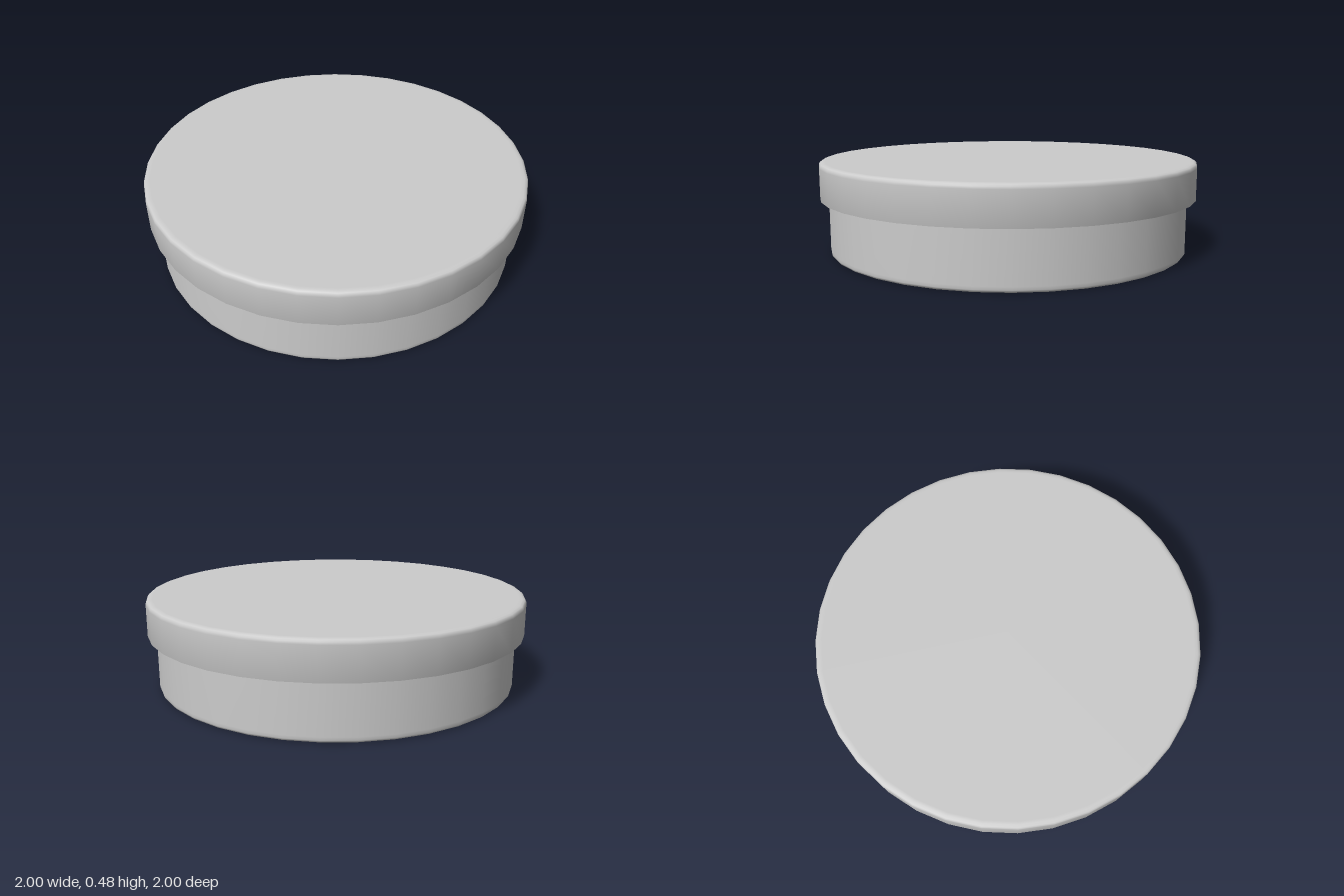
import * as THREE from 'three';

const SIDES = 36;
const material = new THREE.MeshStandardMaterial({ color: 0xcccccc });

// Turns a list of [radius, height] points around the vertical axis
function turned(name, profile) {
  const points = profile.map(([r, y]) => new THREE.Vector2(r, y));
  const mesh = new THREE.Mesh(new THREE.LatheGeometry(points, SIDES), material);
  mesh.name = name;
  return mesh;
}

export function createModel() {
  const model = new THREE.Group();
  model.name = 'roundTin';

  // Body: straight wall with a small rounded bottom edge, reaching up into the lid
  model.add(turned('body', [
    [0, 0], [0.93, 0], [0.942, 0.001], [0.951, 0.006], [0.955, 0.015], [0.955, 0.03],
    [0.955, 0.43], [0.951, 0.44], [0.94, 0.445], [0, 0.445],
  ]));

  // Lid: hollow cap with a thin overhanging rim and a rounded top edge
  model.add(turned('lid', [
    [0, 0.45], [0.965, 0.45], [0.965, 0.29], [1, 0.29],
    [1, 0.455], [0.998, 0.467], [0.992, 0.475], [0.98, 0.48], [0.965, 0.48], [0, 0.48],
  ]));

  return model;
}
